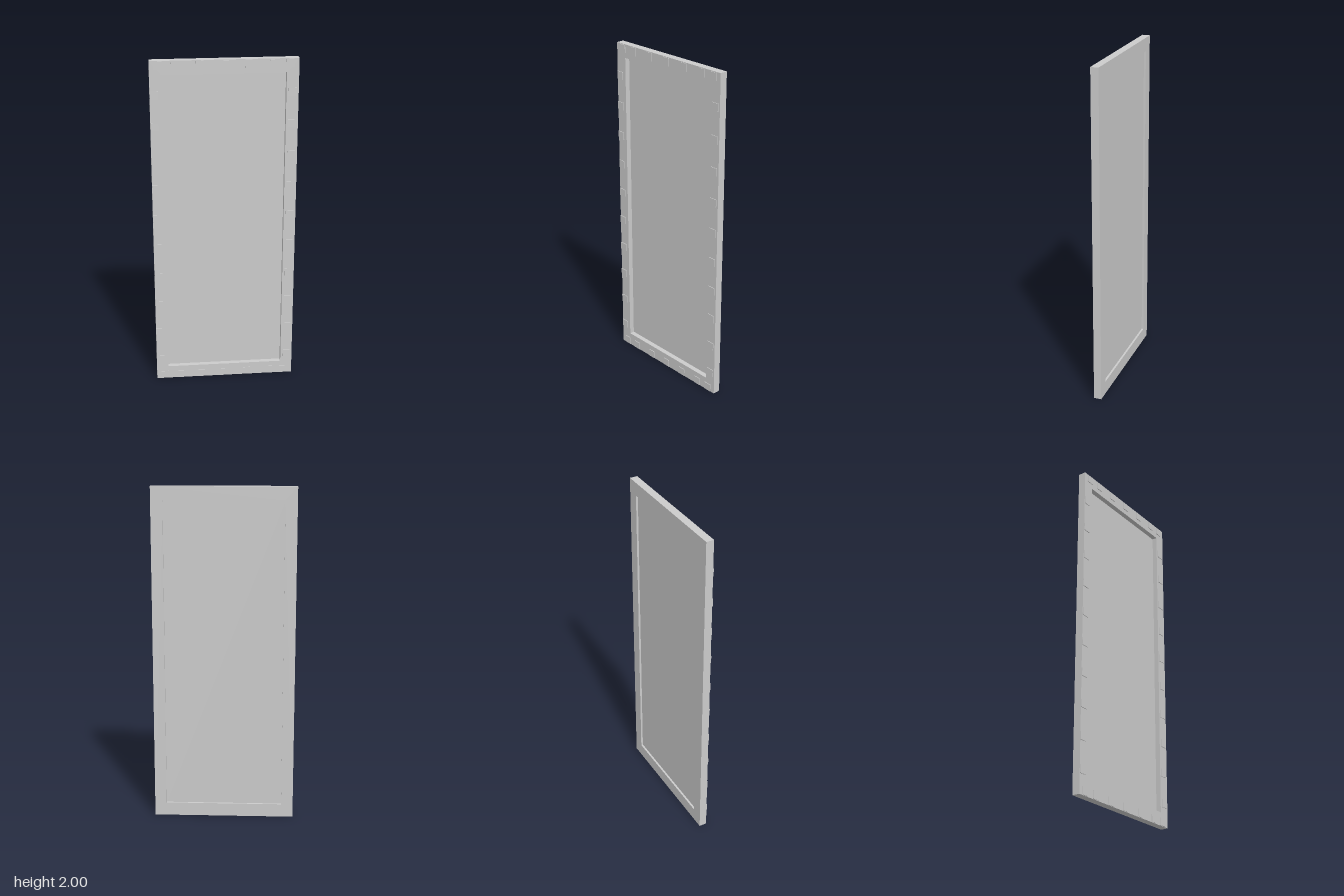
import * as THREE from 'three';

const W = 0.84, H = 2;              // outer size
const RAIL_X = 0.07, RAIL_Y = 0.08; // frame member widths
const BACK = -0.025, FRONT = 0.021; // frame depth
const PAD = 0.046, PAD_FRONT = 0.025;

export function createModel() {
  const root = new THREE.Group();
  root.name = 'framedPanel';
  const material = new THREE.MeshStandardMaterial({ color: 0xcccccc, flatShading: true });

  const add = (parent, name, geometry, x, y, z) => {
    const mesh = new THREE.Mesh(geometry, material);
    mesh.name = name;
    mesh.position.set(x, y, z);
    parent.add(mesh);
  };

  // Rectangular frame with an open centre
  const outline = new THREE.Shape([
    new THREE.Vector2(-W / 2, 0), new THREE.Vector2(W / 2, 0),
    new THREE.Vector2(W / 2, H), new THREE.Vector2(-W / 2, H),
  ]);
  const ix = W / 2 - RAIL_X;
  outline.holes.push(new THREE.Path([
    new THREE.Vector2(-ix, RAIL_Y), new THREE.Vector2(-ix, H - RAIL_Y),
    new THREE.Vector2(ix, H - RAIL_Y), new THREE.Vector2(ix, RAIL_Y),
  ]));
  const frame = new THREE.ExtrudeGeometry(outline, { depth: FRONT - BACK, bevelEnabled: false });
  add(root, 'frame', frame, 0, 0, BACK);

  // Thin panel, recessed deeper from the front than from the back
  const panel = new THREE.BoxGeometry(ix * 2, H - 2 * RAIL_Y, 0.004);
  add(root, 'panel', panel, 0, H / 2, -0.011);

  // Small raised square pads spaced around the front of the frame
  const pads = new THREE.Group();
  pads.name = 'pads';
  root.add(pads);
  const pad = new THREE.BoxGeometry(PAD, PAD, PAD_FRONT - FRONT);
  const padZ = (PAD_FRONT + FRONT) / 2;
  for (const x of [-0.371, -0.278, -0.14, 0, 0.138, 0.277, 0.367]) {
    add(pads, 'topPad', pad, x, 1.973, padZ);
    add(pads, 'bottomPad', pad, x, 0.025, padZ);
  }
  for (let i = 0; i < 10; i++) {
    const y = 1.807 - i * 0.1855;
    add(pads, 'rightPad', pad, -0.396, y, padZ);
    add(pads, 'leftPad', pad, 0.385, y, padZ);
  }
  return root;
}
